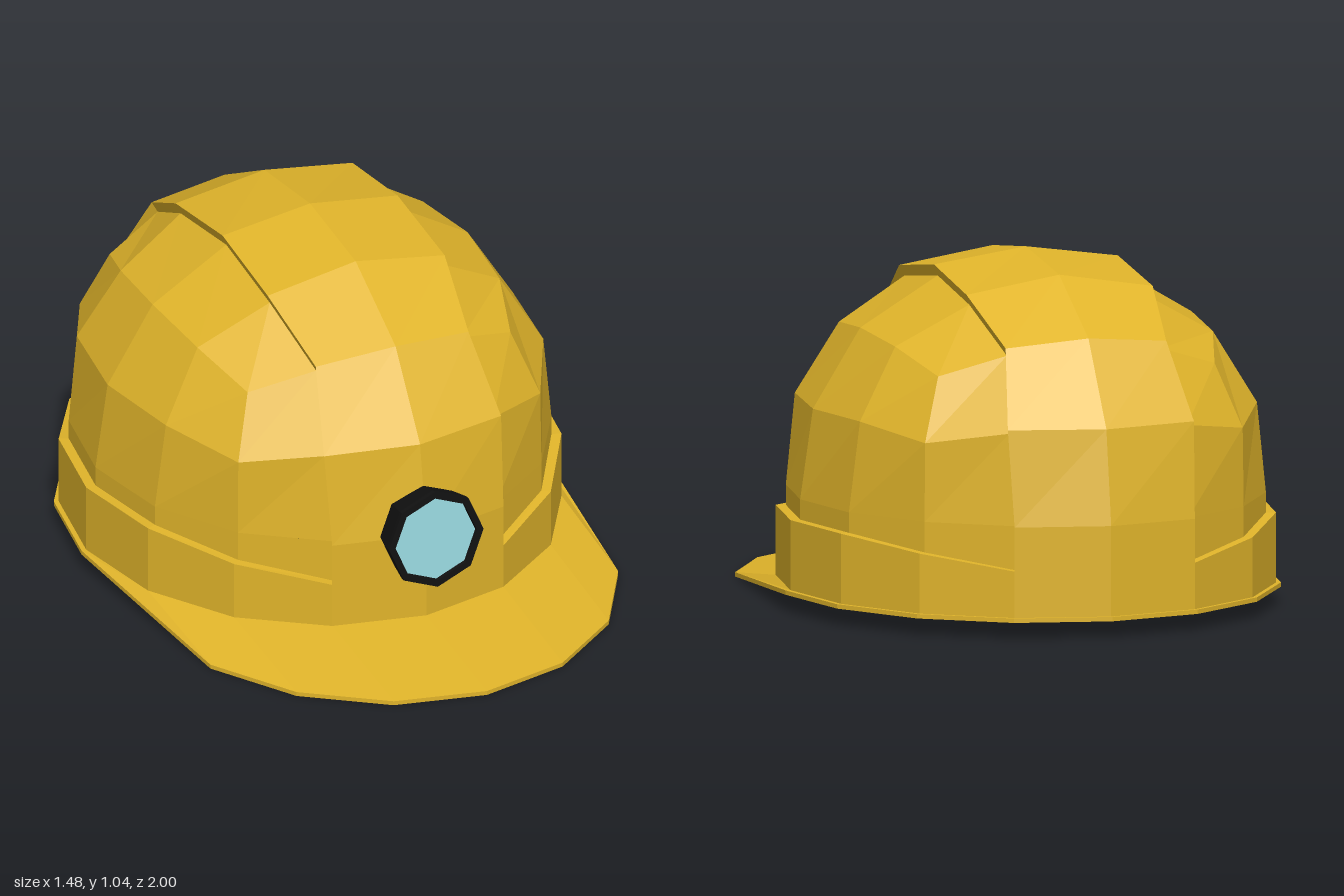
import * as THREE from 'three';

const CZ = -0.2;                       // dome axis
const RIM_Y = 0.33;                    // where the dome starts to curve
const OUTER = [0.725, 0.715, 0.79];    // crest and band radii
const PANEL = [0.695, 0.68, 0.763];    // recessed side panel radii
const INNER = [0.66, 0.645, 0.725];    // inside radii
const yellow = new THREE.MeshStandardMaterial({ color: 0xe0b42a, flatShading: true });
const black = new THREE.MeshStandardMaterial({ color: 0x111111, flatShading: true });
const glass = new THREE.MeshStandardMaterial({ color: 0x99d9e0, flatShading: true });

// Collects quads (corners anticlockwise from outside) into one flat-shaded mesh
function quadMesh(name, build) {
  const pos = [];
  build((a, b, c, d, flip = false) => {
    const q = flip ? [d, c, b, a] : [a, b, c, d];
    for (const i of [0, 1, 2, 0, 2, 3]) pos.push(...q[i]);
  });
  const g = new THREE.BufferGeometry();
  g.setAttribute('position', new THREE.Float32BufferAttribute(pos, 3));
  g.computeVertexNormals();
  const mesh = new THREE.Mesh(g, yellow);
  mesh.name = name;
  return mesh;
}

// Point of a cube lattice (-1..1 in half steps) rounded to a slightly boxy dome
function domePoint(c, s) {
  const t = c.map((v, i) => {
    if (Math.abs(v) !== 0.5) return v;
    const others = c.filter((_, j) => j !== i).map(Math.abs);
    return Math.sign(v) * 0.4142 * (1 + 0.17 * Math.min(...others));
  });
  const p = 2 + 0.24 * Math.min(1, 2 * Math.abs(c[1]));
  const len = t.reduce((sum, v) => sum + Math.abs(v) ** p, 0) ** (1 / p);
  return [s[0] * t[0] / len, RIM_Y + s[1] * t[1] / len, CZ + s[2] * t[2] / len];
}

// Point k of 16 around the rim, counted from the front
function rimPoint(k, s, y) {
  const a = k * Math.PI / 8;
  return [s[0] * Math.sin(a), y, CZ + s[2] * Math.cos(a)];
}

// Dome of a top grid and four half-height side grids; radii chosen per cell
function addDome(quad, radii, flip) {
  const cell = (corners) => {
    const midX = corners.reduce((sum, c) => sum + c[0], 0) / 4;
    const s = radii(Math.abs(midX) < 0.5);
    quad(...corners.map((c) => domePoint(c, s)), flip);
  };
  const grid = (at, v0) => {
    for (let u = -1; u < 1; u += 0.5) {
      for (let v = v0; v < 1; v += 0.5) {
        cell([at(u, v), at(u + 0.5, v), at(u + 0.5, v + 0.5), at(u, v + 0.5)]);
      }
    }
  };
  grid((u, v) => [u, 1, -v], -1);
  for (const [s, c] of [[0, 1], [1, 0], [0, -1], [-1, 0]]) {
    grid((u, v) => [s + c * u, v, c - s * u], 0);
  }
}

const bandTop = (k) => [0.2, 0.2, 0.24, 0.27, 0.27][Math.min(k % 8, 8 - (k % 8))];

function buildShell(quad) {
  addDome(quad, (crest) => (crest ? OUTER : PANEL), false);
  // band, its ledge and the straight foot of the panels
  for (let k = 0; k < 16; k++) {
    const wall = (s0, y0, s1, y1) => quad(
      rimPoint(k, s0, y0(k)), rimPoint(k + 1, s0, y0(k + 1)),
      rimPoint(k + 1, s1, y1(k + 1)), rimPoint(k, s1, y1(k)));
    const foot = () => 0.06, rim = () => RIM_Y;
    wall(OUTER, foot, OUTER, bandTop);
    if (k % 8 === 0 || k % 8 === 7) {
      wall(OUTER, bandTop, OUTER, rim);
    } else {
      wall(OUTER, bandTop, PANEL, bandTop);
      wall(PANEL, bandTop, PANEL, rim);
    }
  }
  // steps along both edges of the crest
  const path = [[0, 1], [0.5, 1], [1, 1], [1, 0.5], [1, 0], [1, -0.5], [1, -1], [0.5, -1], [0, -1]];
  for (const side of [1, -1]) {
    const edge = (s) => {
      const pts = path.map(([y, z]) => domePoint([side * 0.5, y, z], s));
      const low = (p) => [p[0], 0.2, p[2]];
      return [low(pts[0]), ...pts, low(pts[8])];
    };
    const o = edge(OUTER), p = edge(PANEL);
    for (let i = 0; i < o.length - 1; i++) quad(o[i], p[i], p[i + 1], o[i + 1], side < 0);
  }
}

function buildLining(quad) {
  addDome(quad, () => INNER, true);
  for (let k = 0; k < 16; k++) {
    quad(rimPoint(k, INNER, 0.05), rimPoint(k + 1, INNER, 0.05),
      rimPoint(k + 1, INNER, RIM_Y), rimPoint(k, INNER, RIM_Y), true);
  }
}

// Narrow lip all round, pulled forward and down into a peak at the front
function buildBrim(quad) {
  const edge = (k, y) => {
    const front = k % 16 < 4 || k % 16 > 12;
    const p = rimPoint(k, [front ? 0.715 : 0.74, 0, 0.8], y);
    return front ? [p[0], p[1] - 0.05, p[2] + 0.4] : p;
  };
  for (let k = 0; k < 16; k++) {
    const n = k + 1;
    quad(edge(k, 0.063), edge(n, 0.063), rimPoint(n, OUTER, 0.063), rimPoint(k, OUTER, 0.063));
    quad(edge(k, 0.05), edge(n, 0.05), edge(n, 0.063), edge(k, 0.063));
    quad(rimPoint(k, INNER, 0.05), rimPoint(n, INNER, 0.05), edge(n, 0.05), edge(k, 0.05));
  }
}

// Eight-sided lamp whose back passes through the shell
function buildLamp() {
  const lamp = new THREE.Group();
  lamp.name = 'headlamp';
  const profile = [[0, -0.23], [0.07, -0.2], [0.115, -0.15], [0.138, -0.09], [0.153, -0.015],
    [0.153, 0], [0.132, 0], [0.13, -0.012]].map(([r, y]) => new THREE.Vector2(r, y));
  const housing = new THREE.Mesh(new THREE.LatheGeometry(profile, 8), black);
  housing.name = 'lampHousing';
  housing.rotation.x = Math.PI / 2;
  const lens = new THREE.Mesh(new THREE.CircleGeometry(0.132, 8), glass);
  lens.name = 'lampLens';
  lens.position.z = -0.01;
  lamp.add(housing, lens);
  lamp.position.set(0, 0.348, 0.656);
  lamp.rotation.x = -0.065;
  return lamp;
}

export function createModel() {
  const model = new THREE.Group();
  model.name = 'hardHat';
  model.add(
    quadMesh('shell', buildShell),
    quadMesh('lining', buildLining),
    quadMesh('brim', buildBrim),
    buildLamp(),
  );
  return model;
}
